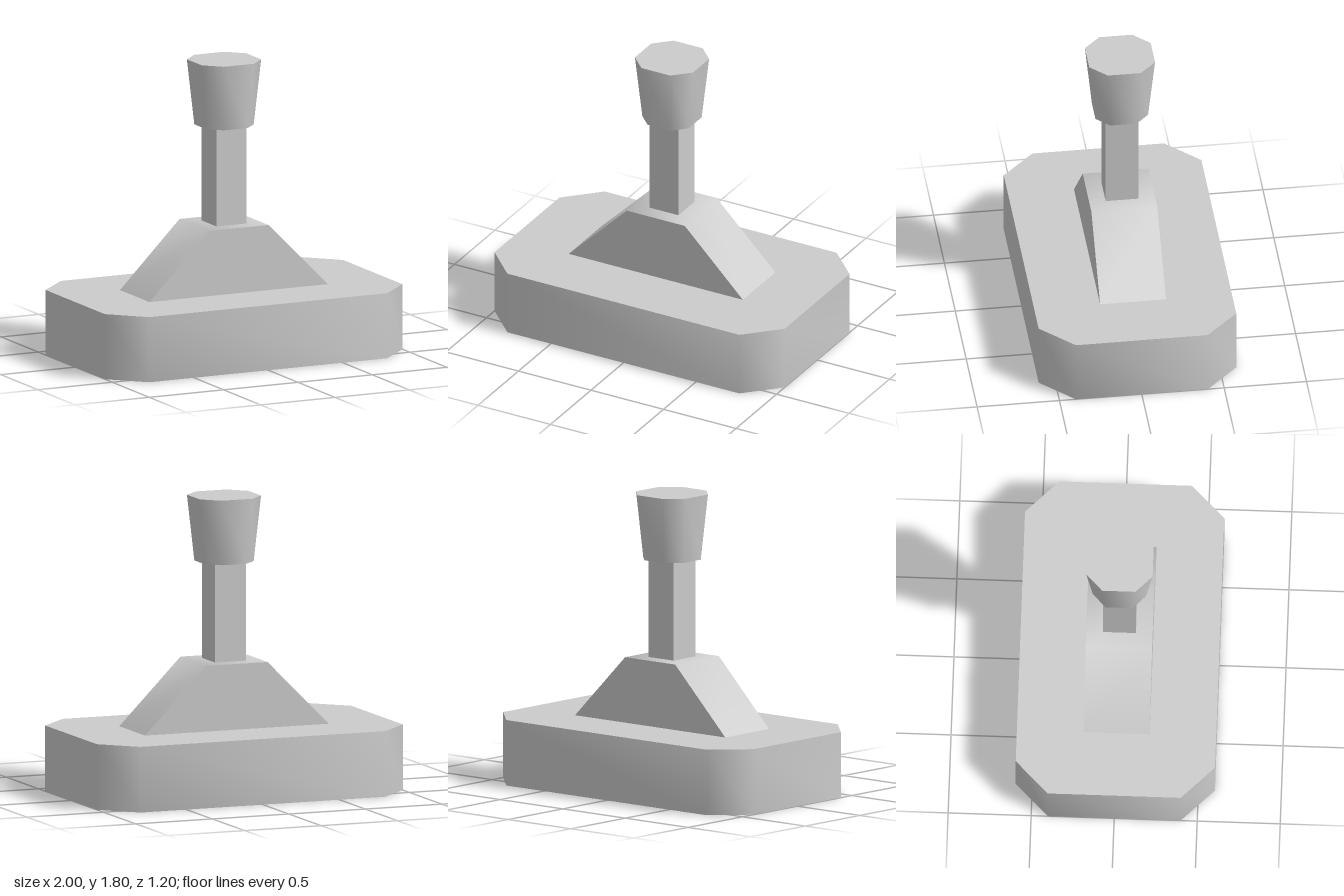
import * as THREE from 'three';
import { toCreasedNormals } from 'three/addons/utils/BufferGeometryUtils.js';

const material = new THREE.MeshStandardMaterial({ color: 0xcccccc });
const CREASE = 1; // 45 degree bends stay smooth, right angles stay sharp

function part(name, geometry) {
  const mesh = new THREE.Mesh(toCreasedNormals(geometry, CREASE), material);
  mesh.name = name;
  return mesh;
}

function extrude(points, depth) {
  const shape = new THREE.Shape(points.map(([x, y]) => new THREE.Vector2(x, y)));
  return new THREE.ExtrudeGeometry(shape, { depth, bevelEnabled: false });
}

// Upright prism over a rectangle with cut corners; its foot may be narrower than its top
function chamferedBlock(hx, hz, cut, y0, y1, footScale = 1) {
  const ix = hx - cut, iz = hz - cut;
  const geometry = extrude([
    [hx, -iz], [hx, iz], [ix, hz], [-ix, hz],
    [-hx, iz], [-hx, -iz], [-ix, -hz], [ix, -hz],
  ], y1 - y0);
  geometry.rotateX(-Math.PI / 2).translate(0, y0, 0);
  const p = geometry.attributes.position;
  const middle = (y0 + y1) / 2;
  for (let i = 0; i < p.count; i++) {
    if (p.getY(i) < middle) {
      p.setX(i, p.getX(i) * footScale);
      p.setZ(i, p.getZ(i) * footScale);
    }
  }
  return geometry;
}

export function createModel() {
  const model = new THREE.Group();
  model.name = 'leverOnBase';

  // Heavy base with cut corners
  model.add(part('base', chamferedBlock(1, 0.6, 0.2, 0, 0.4)));

  // Sloped mount, a trapezoid drawn from the front
  const mount = extrude([[-0.6, 0.4], [0.6, 0.4], [0.2, 0.8], [-0.2, 0.8]], 0.4);
  model.add(part('mount', mount.translate(0, 0, -0.2)));

  // Square stem
  model.add(part('stem', new THREE.BoxGeometry(0.2, 0.6, 0.2).translate(0, 1.1, 0)));

  // Eight-sided knob, widening upwards
  model.add(part('knob', chamferedBlock(0.2, 0.2, 0.1, 1.4, 1.8, 0.8)));

  return model;
}
